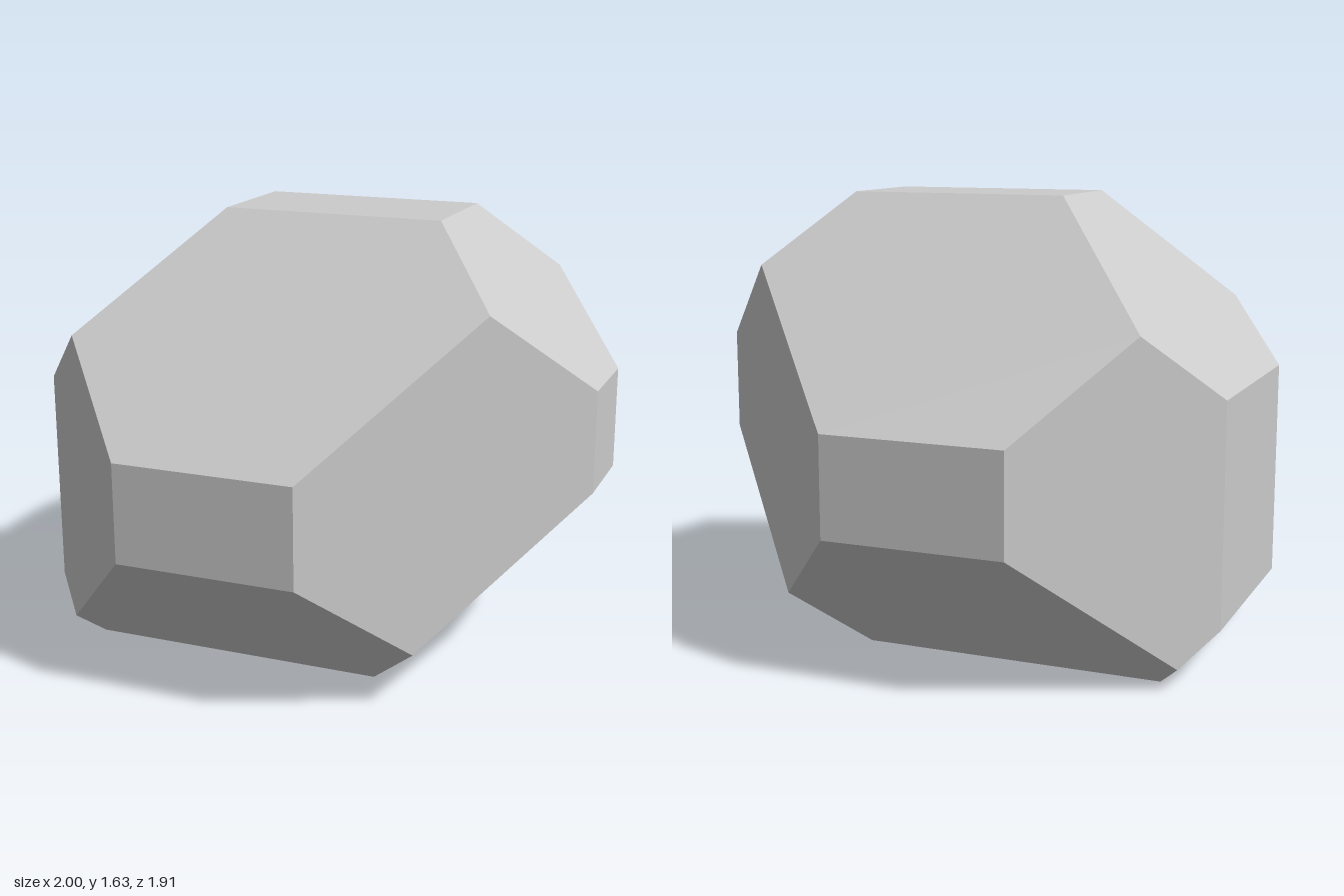
import * as THREE from 'three';

// Cutting planes as [nx, ny, nz, d], keeping nx*x + ny*y + nz*z <= d
function crystalPlanes() {
  const planes = [
    [1, 0, 0, 1], [-1, 0, 0, 1],        // sides
    [0, 1, 0, 1.626], [0, -1, 0, 0],    // top and base
    [1, 1, 0, 2.071], [-1, 1, 0, 1.983], // upper side bevels
    [1, -1, 0, 0.295], [-1, -1, 0, -0.0 + 0.805], // lower side bevels
  ];
  // Facets mirrored front to back
  for (const s of [1, -1]) {
    planes.push(
      [0, 0, s, 0.954],
      [0, 1, s, 1.836], [0, -1, s, 0.43],
      [1, 0, s, 1.165], [-1, 0, s, 1.395],
    );
  }
  return planes.map(([x, y, z, d]) => ({ n: new THREE.Vector3(x, y, z), d }));
}

// Corners: every meeting point of three planes that lies inside all others
function findCorners(planes) {
  const corners = [];
  for (let i = 0; i < planes.length; i++)
    for (let j = i + 1; j < planes.length; j++)
      for (let k = j + 1; k < planes.length; k++) {
        const [a, b, c] = [planes[i], planes[j], planes[k]];
        const bc = b.n.clone().cross(c.n);
        const det = a.n.dot(bc);
        if (Math.abs(det) < 1e-6) continue;
        const p = bc.multiplyScalar(a.d)
          .addScaledVector(c.n.clone().cross(a.n), b.d)
          .addScaledVector(a.n.clone().cross(b.n), c.d)
          .divideScalar(det);
        const inside = planes.every(({ n, d }) => n.dot(p) <= d + 1e-5);
        if (inside && !corners.some((q) => q.distanceTo(p) < 1e-4)) corners.push(p);
      }
  return corners;
}

// One flat polygon per plane, its corners sorted counterclockwise
function crystalGeometry() {
  const planes = crystalPlanes();
  const corners = findCorners(planes);
  const positions = [];
  for (const { n, d } of planes) {
    const face = corners.filter((p) => Math.abs(n.dot(p) - d) < 1e-4);
    if (face.length < 3) continue;
    const centre = face.reduce((sum, p) => sum.add(p), new THREE.Vector3()).divideScalar(face.length);
    const u = face[0].clone().sub(centre).normalize();
    const v = n.clone().normalize().cross(u);
    const angle = (p) => {
      const r = p.clone().sub(centre);
      return Math.atan2(r.dot(v), r.dot(u));
    };
    face.sort((p, q) => angle(p) - angle(q));
    for (let i = 1; i < face.length - 1; i++)
      for (const p of [face[0], face[i], face[i + 1]]) positions.push(p.x, p.y, p.z);
  }
  const geometry = new THREE.BufferGeometry();
  geometry.setAttribute('position', new THREE.Float32BufferAttribute(positions, 3));
  geometry.computeVertexNormals();
  return geometry;
}

export function createModel() {
  const group = new THREE.Group();
  group.name = 'crystal';
  const material = new THREE.MeshStandardMaterial({ color: 0xcccccc, flatShading: true });
  const body = new THREE.Mesh(crystalGeometry(), material);
  body.name = 'facetedBody';
  group.add(body);
  return group;
}
